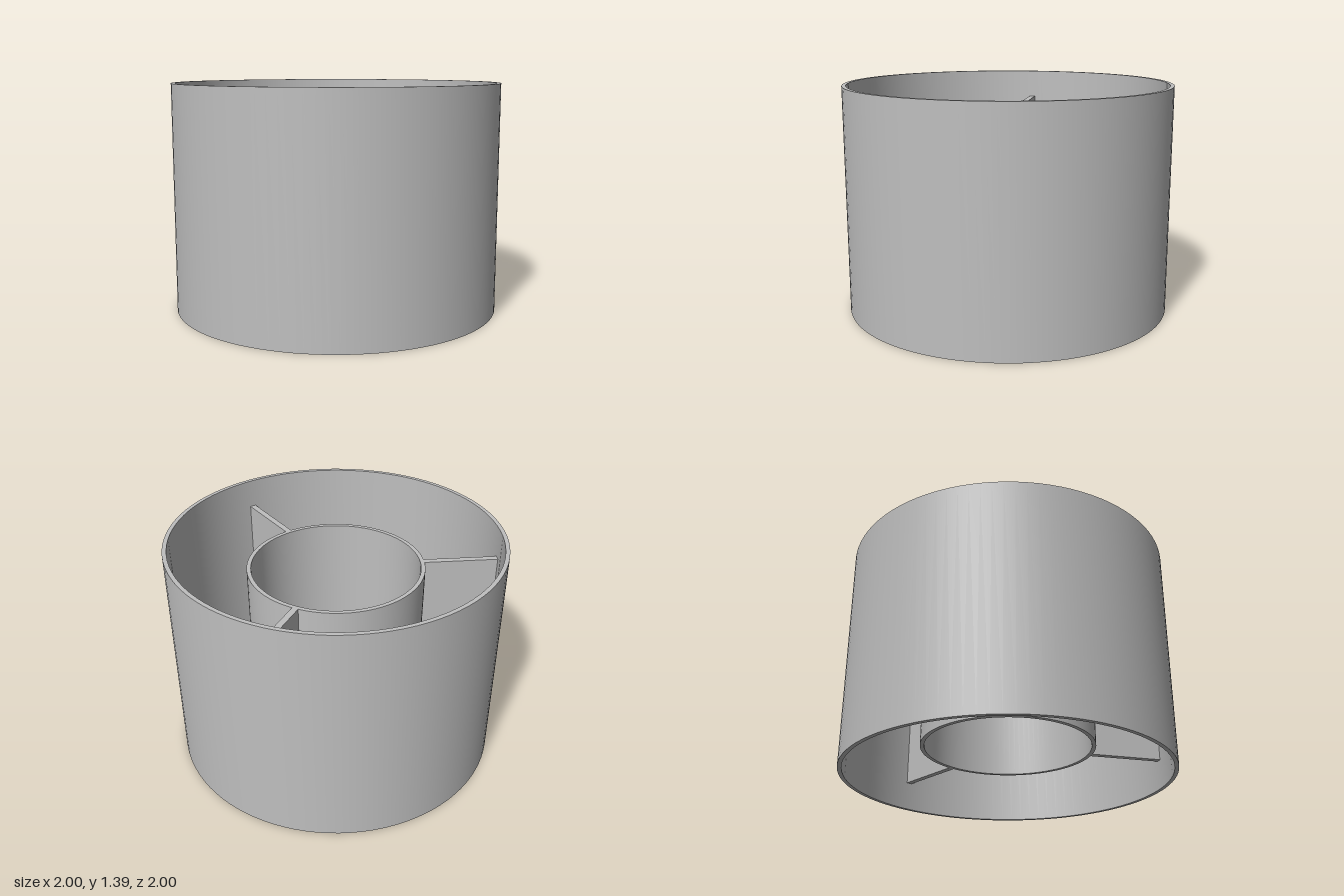
import * as THREE from 'three';
import { toCreasedNormals } from 'three/addons/utils/BufferGeometryUtils.js';

const SEGMENTS = 96;

// Open tube with wall thickness, spun from a closed rectangular profile
function makeRing(name, outer, inner, bottom, top, material) {
  const profile = [
    [outer, bottom], [outer, top], [inner, top], [inner, bottom], [outer, bottom],
  ].map(([r, y]) => new THREE.Vector2(r, y));
  const geometry = toCreasedNormals(new THREE.LatheGeometry(profile, SEGMENTS), Math.PI / 6);
  const mesh = new THREE.Mesh(geometry, material);
  mesh.name = name;
  return mesh;
}

export function createModel() {
  const group = new THREE.Group();
  group.name = 'ringHousing';
  const grey = new THREE.MeshStandardMaterial({ color: 0xbfbfbf });
  grey.name = 'grey';

  const height = 1.39;
  const hubBottom = 0.18;
  const hubTop = 1.21;

  // Tall outer shell and shorter, vertically centred hub
  group.add(makeRing('outerShell', 1, 0.975, 0, height, grey));
  group.add(makeRing('innerHub', 0.53, 0.505, hubBottom, hubTop, grey));

  // Three radial webs, slightly sunk into both walls
  const start = 0.52;
  const end = 0.985;
  const web = new THREE.BoxGeometry(end - start, hubTop - hubBottom, 0.038);
  web.translate((start + end) / 2, (hubBottom + hubTop) / 2, 0);
  for (let i = 0; i < 3; i++) {
    const mesh = new THREE.Mesh(web, grey);
    mesh.name = `radialWeb${i + 1}`;
    mesh.rotation.y = (i * Math.PI * 2) / 3;
    group.add(mesh);
  }
  return group;
}
